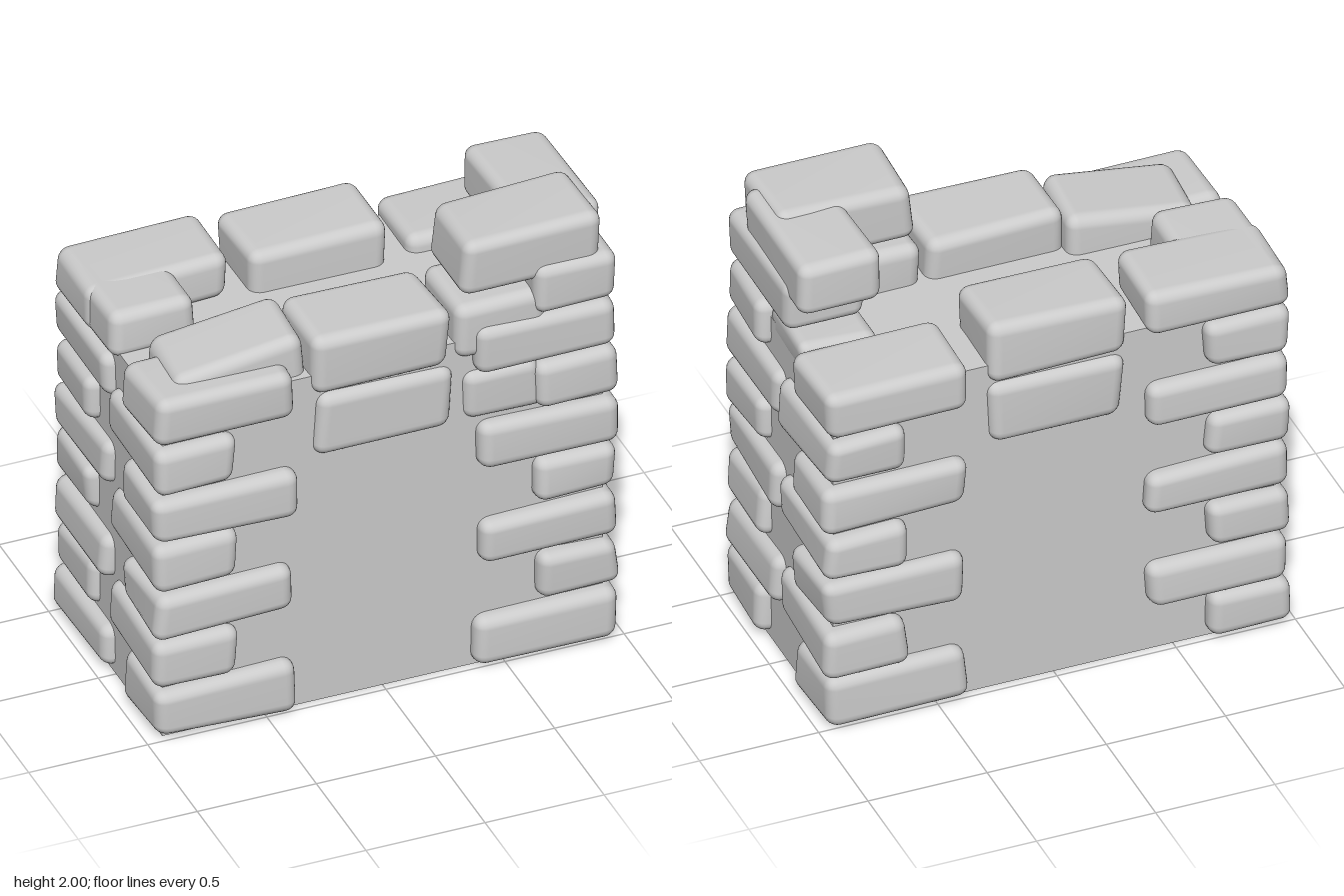
import * as THREE from 'three';
import { RoundedBoxGeometry } from 'three/addons/geometries/RoundedBoxGeometry.js';
import { mergeVertices } from 'three/addons/utils/BufferGeometryUtils.js';

const material = new THREE.MeshStandardMaterial({ color: 0xcccccc });

// Small seeded random generator
let seed = 11;
const rand = () => {
  seed = (seed * 16807) % 2147483647;
  return seed / 2147483647;
};

// Worn stone filling the given bounds; its eight corners are pulled in unevenly
function stone(name, x0, x1, y0, y1, z0, z1, wear = 0.026) {
  const w = x1 - x0, h = y1 - y0, d = z1 - z0;
  const geo = new RoundedBoxGeometry(w, h, d, 3, Math.min(0.055, h * 0.3));
  geo.deleteAttribute('normal');
  geo.deleteAttribute('uv');
  const merged = mergeVertices(geo, 1e-4);
  const pull = Array.from({ length: 8 }, () => [rand() * wear * 1.3, rand() * wear, rand() * wear * 0.8]);
  const p = merged.attributes.position;
  const v = new THREE.Vector3();
  for (let i = 0; i < p.count; i++) {
    v.fromBufferAttribute(p, i);
    const t = [v.x / w + 0.5, v.y / h + 0.5, v.z / d + 0.5];
    const shift = [0, 0, 0];
    pull.forEach((c, k) => {
      const bits = [k & 1, (k >> 1) & 1, (k >> 2) & 1];
      const weight = bits.reduce((m, b, a) => m * (b ? t[a] : 1 - t[a]), 1);
      bits.forEach((b, a) => { shift[a] += weight * c[a] * (b ? -1 : 1); });
    });
    p.setXYZ(i, v.x + shift[0], v.y + shift[1], v.z + shift[2]);
  }
  merged.computeVertexNormals();
  const mesh = new THREE.Mesh(merged, material);
  mesh.name = name;
  mesh.position.set((x0 + x1) / 2, (y0 + y1) / 2, (z0 + z1) / 2);
  return mesh;
}

// Corner column: courses alternate between long in x and long in z
function cornerColumn(name, sx, sz, levels, longFirst) {
  const column = new THREE.Group();
  column.name = name;
  for (let i = 0; i < levels.length - 1; i++) {
    const longX = (i % 2 === 0) === longFirst;
    const x = [sx * 0.99, sx * (longX ? 0.365 : 0.61)].sort((a, b) => a - b);
    const z = [sz * 0.54, sz * (longX ? 0.15 : -0.005)].sort((a, b) => a - b);
    column.add(stone('cornerStone', ...x, levels[i], levels[i + 1] + 0.008, ...z));
  }
  return column;
}

export function createModel() {
  seed = 11;
  const model = new THREE.Group();
  model.name = 'ruinedStoneWall';

  // Plain core behind the stones
  const core = new THREE.Mesh(new THREE.BoxGeometry(1.85, 1.52, 0.93), material);
  core.name = 'core';
  core.position.y = 0.76;
  model.add(core);

  // Four corner columns
  const levels = [0, 0.24, 0.465, 0.69, 0.91, 1.135, 1.36, 1.59];
  const tallLevels = Array.from({ length: 9 }, (_, i) => i * 0.213);
  model.add(
    cornerColumn('frontLeftColumn', 1, 1, levels, true),
    cornerColumn('frontRightColumn', -1, 1, levels, true),
    cornerColumn('backLeftColumn', 1, -1, levels, true),
    cornerColumn('backRightColumn', -1, -1, tallLevels, false)
  );

  // Paired stones at the middle of the front and back
  for (const [side, z0, z1] of [['front', 0.14, 0.515], ['back', -0.51, -0.13]]) {
    model.add(stone(side + 'MiddleLower', -0.3, 0.3, 1.14, 1.44, z0, z1));
    model.add(stone(side + 'MiddleUpper', -0.32, 0.29, 1.43, 1.715, z0, z1));
  }

  // Stacked stones on the tall front corner
  model.add(
    stone('stackSide', 0.6, 0.99, 1.58, 1.83, -0.09, 0.54),
    stone('stackTopFront', 0.31, 0.92, 1.715, 2, 0.13, 0.52),
    stone('stackTopSide', 0.59, 0.96, 1.72, 1.99, -0.21, 0.42)
  );

  // Recessed infill stones
  model.add(
    stone('infillLower', 0.31, 0.68, 1.14, 1.39, 0.15, 0.51),
    stone('infillUpper', 0.29, 0.7, 1.43, 1.7, 0.14, 0.51),
    stone('infillSide', 0.6, 0.95, 1.43, 1.6, -0.19, 0.2),
    stone('backCornerReturn', -0.97, -0.59, 1.48, 1.71, -0.5, 0.05)
  );

  // Broken stone that slopes down toward the low front corner
  const slope = stone('slopingStone', -0.86, -0.29, 1.42, 1.7, 0.08, 0.45);
  const p = slope.geometry.attributes.position;
  for (let i = 0; i < p.count; i++) {
    if (p.getY(i) > 0) p.setY(i, p.getY(i) - 0.1 * THREE.MathUtils.clamp(0.35 - p.getX(i) * 1.6, 0, 1));
  }
  slope.geometry.computeVertexNormals();
  model.add(slope);

  return model;
}
